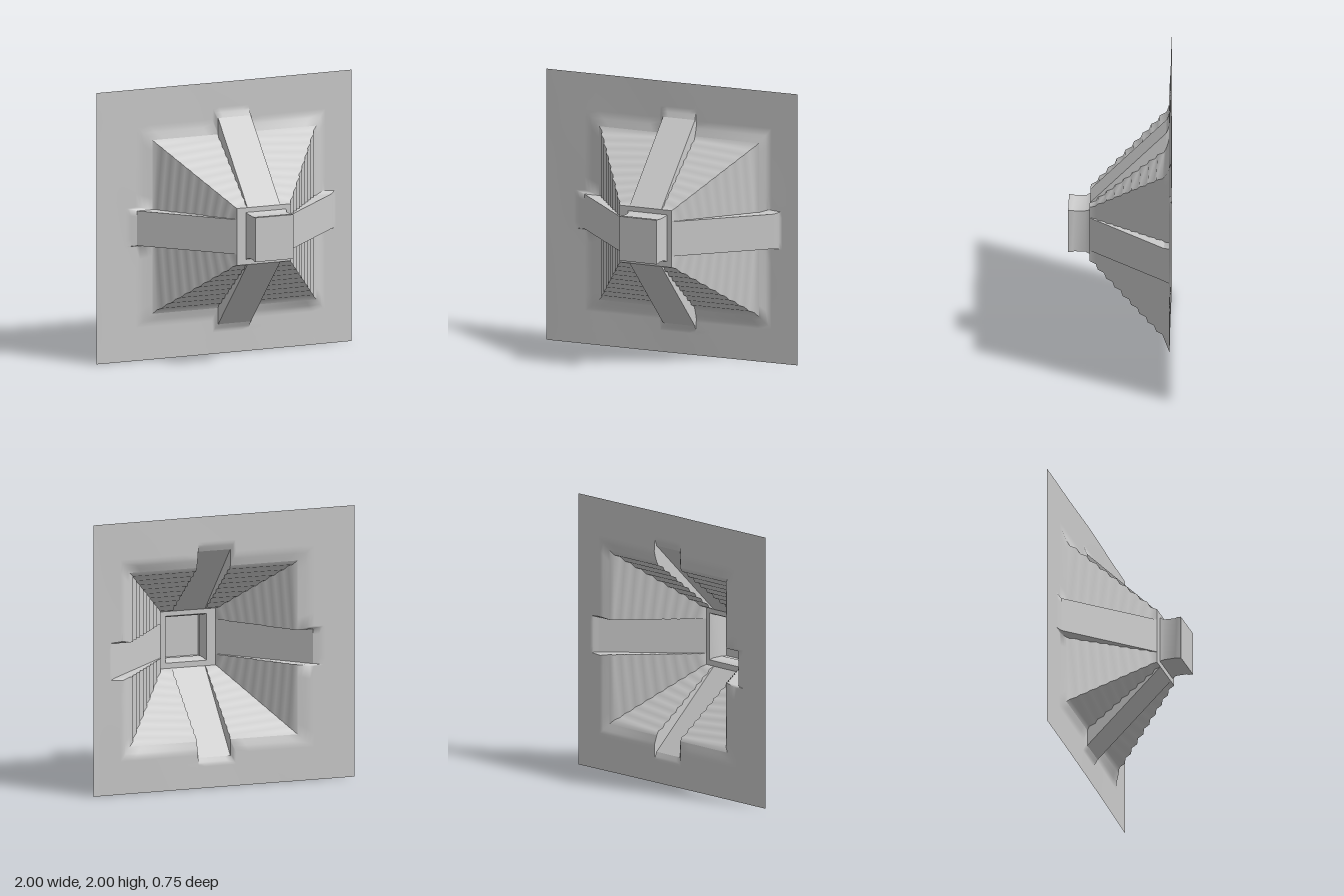
import * as THREE from 'three';
import { toCreasedNormals } from 'three/addons/utils/BufferGeometryUtils.js';

const CX = 0.07, CY = 0.98;               // axis of the pyramid
const TOP = 0.21, BASE = 0.64, FOOT = 0.76; // half sizes: platform, lowest terrace, ramp end
const Z_TOP = 0.22, Z_BASE = -0.33;
const RAMP = 0.128;                       // half width of a ramp
const STEPS = 9;

const material = new THREE.MeshStandardMaterial({ color: 0xcccccc, side: THREE.DoubleSide });

// Skin a list of equally long rows of [x, y, z] points
function sheet(name, rows, crease = 0.9) {
  const n = rows[0].length, index = [];
  for (let r = 0; r < rows.length - 1; r++) {
    for (let c = 0; c < n - 1; c++) {
      const a = r * n + c, b = a + n;
      index.push(a, b, a + 1, b, b + 1, a + 1);
    }
  }
  const geometry = new THREE.BufferGeometry();
  geometry.setAttribute('position', new THREE.Float32BufferAttribute(rows.flat(2), 3));
  geometry.setIndex(index);
  const mesh = new THREE.Mesh(toCreasedNormals(geometry, crease), material);
  mesh.name = name;
  return mesh;
}

// Closed rectangle in the xy plane
const ring = (cx, cy, hx, hy, z) =>
  [[-1, -1], [1, -1], [1, 1], [-1, 1], [-1, -1]].map(([x, y]) => [cx + x * hx, cy + y * hy, z]);

// Worn step profile: distance from the axis against height
function stepProfile() {
  const run = (BASE - TOP) / STEPS, drop = (Z_TOP - Z_BASE) / STEPS;
  const points = [[TOP, Z_TOP]];
  for (let i = 0; i < STEPS; i++) {
    const d = TOP + i * run, z = Z_TOP - i * drop;
    points.push([d + run * 0.36, z - drop * 0.74], [d + run, z - drop]);
  }
  return points;
}

const rampZ = (d) => Z_TOP + (Z_BASE - Z_TOP) * (d - TOP) / (FOOT - TOP);

// One face: terraces either side of a ramp with its cheeks
function pyramidSide(name) {
  const side = new THREE.Group();
  side.name = name;
  const profile = stepProfile();
  const cheek = [...profile, [FOOT, Z_BASE]];
  for (const s of [-1, 1]) {
    side.add(sheet('terraces', profile.map(([d, z]) => [[s * RAMP, d, z], [s * d, d, z]])));
    side.add(sheet('rampCheek', cheek.map(([d, z]) => [[s * RAMP, d, z], [s * RAMP, d, rampZ(d)]])));
  }
  side.add(sheet('ramp', [TOP, FOOT].map((d) => [[-RAMP, d, rampZ(d)], [RAMP, d, rampZ(d)]])));
  return side;
}

// Gently uneven ground
const groundZ = (x, y) =>
  -0.352 - 0.014 * x - 0.006 * x * x + 0.003 * Math.sin(5 * x + 1) * Math.sin(4 * y) * (1 - x * x);

// Ground sheet from the pyramid outline out to the square border
function ground() {
  const corners = [];
  for (let k = 0; k < 4; k++) {
    const c = Math.round(Math.cos(k * Math.PI / 2)), s = Math.round(Math.sin(k * Math.PI / 2));
    for (const [x, y] of [[BASE, BASE], [RAMP, BASE], [RAMP, FOOT], [-RAMP, FOOT], [-RAMP, BASE]]) {
      corners.push([x * c - y * s, x * s + y * c]);
    }
  }
  const outline = [];
  corners.forEach(([x, y], i) => {
    const [nx, ny] = corners[(i + 1) % corners.length];
    for (let j = 0; j < 6; j++) outline.push([x + (nx - x) * j / 6, y + (ny - y) * j / 6]);
  });
  outline.push(outline[0]);
  const rows = [];
  for (let r = 0; r <= 14; r++) {
    const t = r / 14, lift = Math.max(0, 1 - t * 5);
    rows.push(outline.map(([dx, dy]) => {
      const m = Math.max(Math.abs(dx), Math.abs(dy));
      const x = (CX + dx) * (1 - t) + (dx / m) * t;
      const y = (CY + dy) * (1 - t) + (1 + dy / m) * t;
      const g = groundZ(x, y);
      return [x, y, g + (Z_BASE - g) * lift];
    }));
  }
  return sheet('ground', rows);
}

export function createModel() {
  const model = new THREE.Group();
  model.name = 'steppedPyramid';
  model.add(ground());

  // Four faces around the axis
  ['upperSide', 'rightSide', 'lowerSide', 'leftSide'].forEach((name, k) => {
    const side = pyramidSide(name);
    side.position.set(CX, CY, 0);
    side.rotation.z = k * Math.PI / 2;
    model.add(side);
  });

  // Platform and the slightly waisted block on it, open inside
  const tx = 0.0875, ty = 0.9825, hx = 0.148, hy = 0.163;
  const block = [[1.06, Z_TOP], [0.98, 0.25], [0.97, 0.33], [1, 0.345], [1, 0.375], [0, 0.375]]
    .map(([f, z]) => ring(tx, ty, hx * f, hy * f, z));
  model.add(sheet('platform', [ring(CX, CY, TOP, TOP, Z_TOP), block[0]]));
  model.add(sheet('temple', block, 0.6));
  return model;
}
